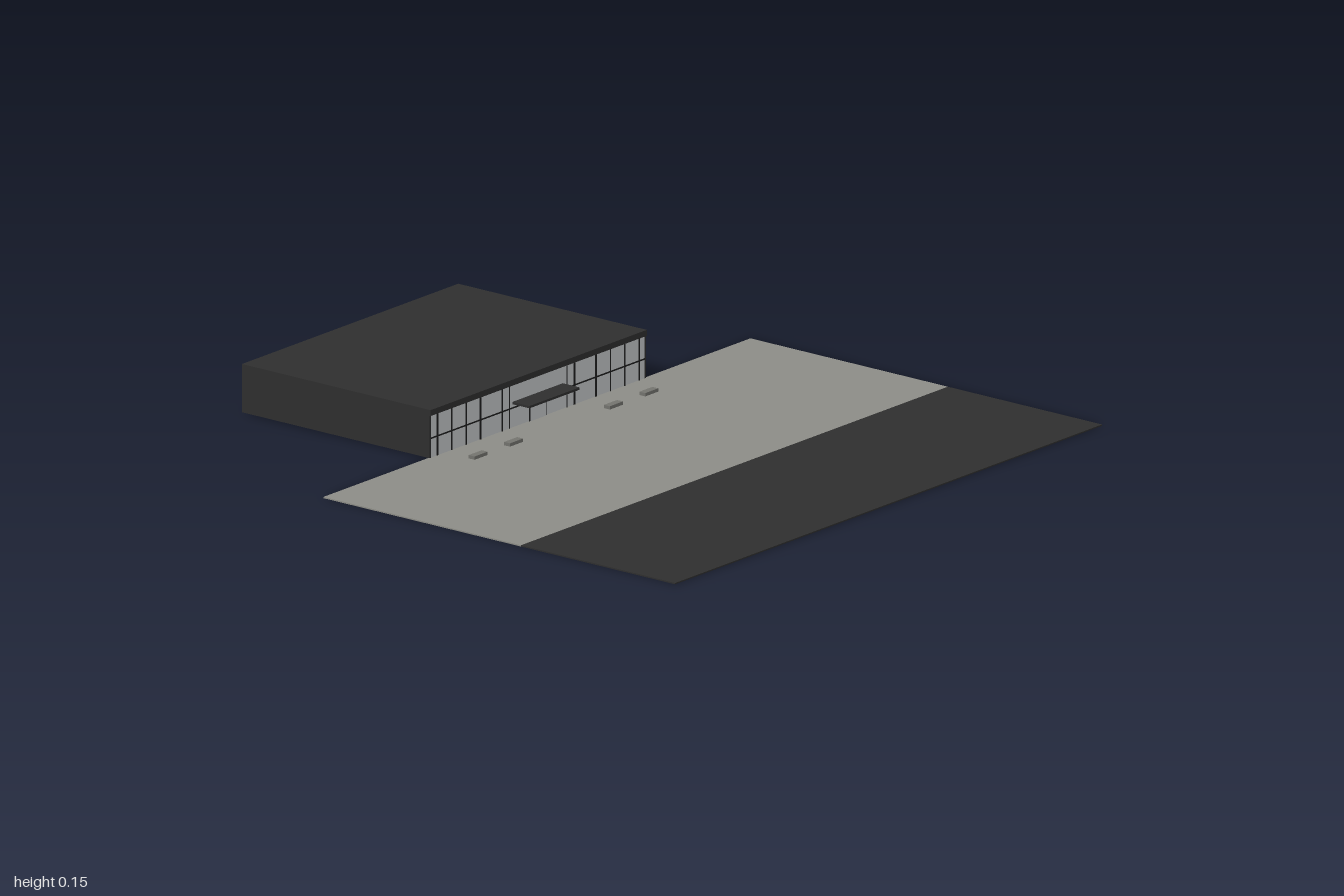
import * as THREE from 'three';

export function createModel() {
  const model = new THREE.Group();
  const mat = (name, color) => {
    const m = new THREE.MeshStandardMaterial({ color });
    m.name = name;
    return m;
  };
  const dark = mat('charcoal', 0x2e2e2e);
  const paving = mat('paving', 0x8c8c86);
  const panel = mat('pale panel', 0xc4c8ca);
  const frame = mat('black frame', 0x1c1c1c);
  const bench = mat('bench grey', 0x73736e);

  // Box given by its extents along each axis
  const box = (name, material, [x0, x1], [y0, y1], [z0, z1], parent = model) => {
    const mesh = new THREE.Mesh(new THREE.BoxGeometry(x1 - x0, y1 - y0, z1 - z0), material);
    mesh.position.set((x0 + x1) / 2, (y0 + y1) / 2, (z0 + z1) / 2);
    mesh.name = name;
    parent.add(mesh);
    return mesh;
  };

  // Ground: road in front, paved forecourt behind it
  box('road', dark, [-0.977, 0.977], [0, 0.004], [0.427, 1]);
  box('forecourt', paving, [-0.977, 0.977], [0, 0.004], [-0.307, 0.427]);

  // Building shell
  const building = new THREE.Group();
  building.name = 'building';
  model.add(building);
  const L = -0.497, R = 0.493, B = -1, F = -0.302;
  box('floor', paving, [L + 0.005, R - 0.005], [0.006, 0.01], [B + 0.005, F - 0.002], building);
  box('rightWall', dark, [L, L + 0.005], [0.004, 0.132], [B, F], building);
  box('leftWall', dark, [R - 0.005, R], [0.004, 0.132], [B, F], building);
  box('backWall', panel, [L + 0.005, R - 0.005], [0.004, 0.132], [B, B + 0.005], building);
  box('frontGlazing', panel, [L + 0.005, R - 0.005], [0.004, 0.132], [F - 0.006, F - 0.001], building);
  box('roof', dark, [L, R], [0.132, 0.15], [B, F + 0.003], building);

  // Facade grid: broad posts, thin mullions and one rail
  const facade = new THREE.Group();
  facade.name = 'facadeGrid';
  building.add(facade);
  const bar = (x, w) => box('mullion', frame, [x - w / 2, x + w / 2], [0.004, 0.132], [F - 0.002, F + 0.001], facade);
  for (const s of [-1, 1]) {
    for (const x of [0.462, 0.264, 0.165]) bar(s * x, 0.006);
    for (const x of [0.396, 0.33, 0.132]) bar(s * x, 0.003);
  }
  box('rail', frame, [L + 0.005, R - 0.005], [0.061, 0.065], [F - 0.002, F + 0.001], facade);

  // Entrance door with a thin dark surround
  box('doorFrame', frame, [-0.043, 0.037], [0.004, 0.062], [F, F + 0.002], building);
  box('doorPanel', panel, [-0.039, 0.033], [0.004, 0.057], [F + 0.001, F + 0.003], building);

  // Canopy over the entrance
  box('canopy', dark, [-0.117, 0.113], [0.074, 0.081], [-0.303, -0.24], building);

  // Benches on the forecourt
  for (const x of [-0.397, -0.235, 0.222, 0.384]) {
    box('bench', bench, [x - 0.03, x + 0.03], [0.004, 0.014], [-0.214, -0.192]);
  }
  return model;
}
